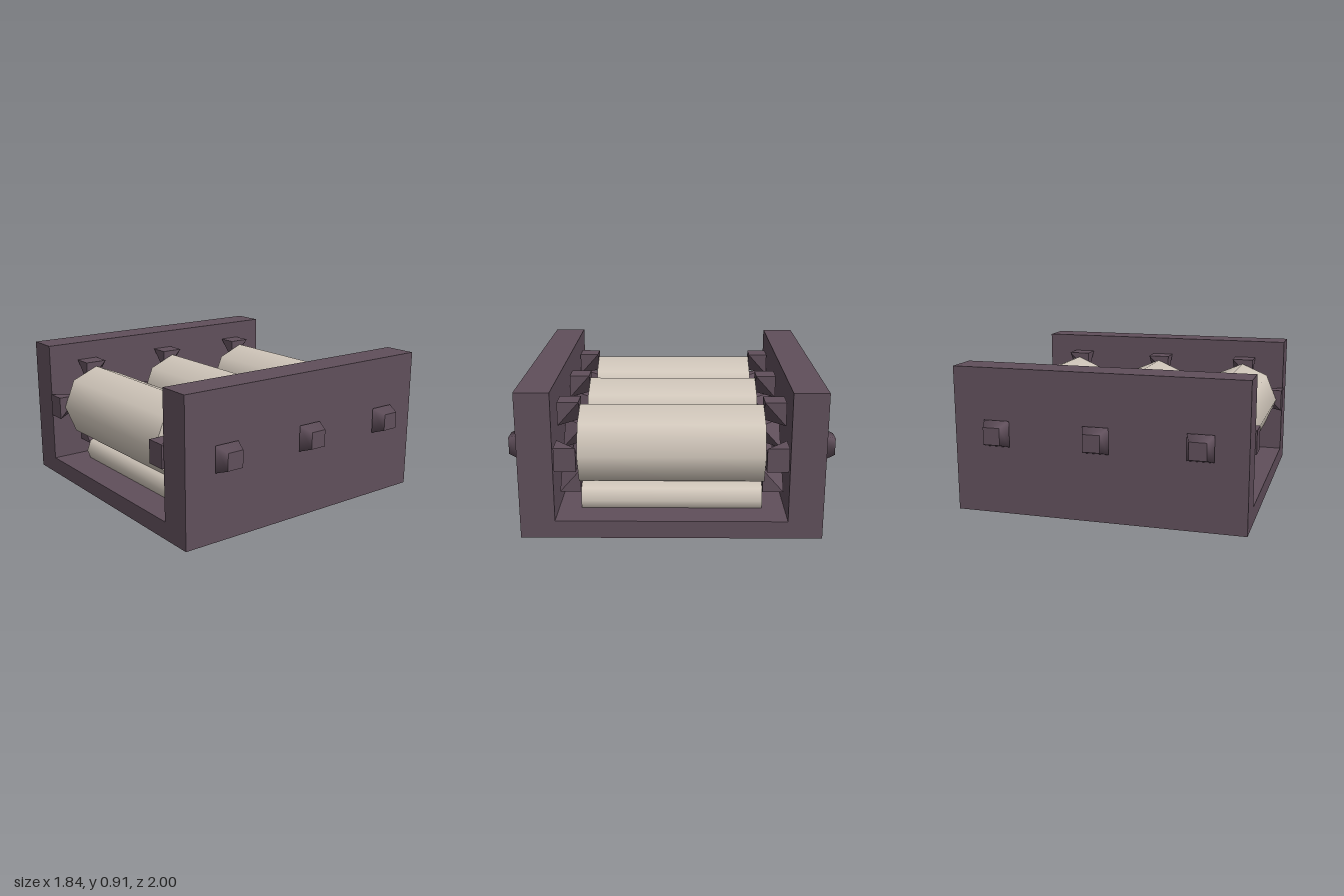
import * as THREE from 'three';
import { ConvexGeometry } from 'three/addons/geometries/ConvexGeometry.js';

const dark = new THREE.MeshStandardMaterial({ color: 0x604f5b });
const pale = new THREE.MeshStandardMaterial({ color: 0xd2c8bc });
const COLUMNS = [-0.63, 0, 0.63];
const AXLE_Y = 0.508;

export function createModel() {
  const model = new THREE.Group();
  const add = (name, geometry, material, x, y, z) => {
    const mesh = new THREE.Mesh(geometry, material);
    mesh.name = name;
    mesh.position.set(x, y, z);
    model.add(mesh);
    return mesh;
  };

  // U-shaped housing, open at both sides
  const u = new THREE.Shape([
    [-0.91, 0], [0.91, 0], [0.91, 0.91], [0.7, 0.91],
    [0.7, 0.11], [-0.7, 0.11], [-0.7, 0.91], [-0.91, 0.91],
  ].map(([a, b]) => new THREE.Vector2(a, b)));
  const housing = new THREE.ExtrudeGeometry(u, { depth: 1.82, bevelEnabled: false });
  housing.translate(0, 0, -0.91).rotateY(Math.PI / 2);
  add('housing', housing, dark, 0, 0, 0);

  // Octagonal rollers with a slim rod below each
  const roller = new THREE.CylinderGeometry(0.252, 0.252, 1.12, 8).rotateX(Math.PI / 2);
  const rod = new THREE.CylinderGeometry(0.1, 0.1, 1.12, 8).rotateX(Math.PI / 2);

  // Tapered outer stud, pointing along +z
  const stud = new THREE.CylinderGeometry(0.053 * Math.SQRT2, 0.081 * Math.SQRT2, 0.08, 4)
    .rotateY(Math.PI / 4).rotateX(Math.PI / 2);

  // Wedge tooth: square face outwards, narrowing to a diagonal edge inwards
  const tooth = (dx, dy, side) => {
    const points = [];
    for (const x of [-1, 1]) for (const y of [-1, 1]) for (const z of [-1, 1]) {
      const outer = x * dx + y * dy > 0;
      if (outer || x * y * z < 0) points.push(new THREE.Vector3(x * 0.073, y * 0.073, z * side * 0.065));
    }
    return new ConvexGeometry(points);
  };

  for (const x of COLUMNS) {
    add('roller', roller, pale, x, AXLE_Y, 0);
    add('lowerRod', rod, pale, x, 0.165, 0);
    for (const side of [1, -1]) {
      const s = add('outerStud', stud, dark, x, AXLE_Y, side * 0.96);
      if (side < 0) s.rotation.y = Math.PI;
      for (const [dx, dy] of [[1, 0], [0, 1], [-1, 0], [0, -1]]) {
        add('rollerTooth', tooth(dx, dy, side), dark, x + dx * 0.215, AXLE_Y - 0.005 + dy * 0.215, side * 0.627);
      }
    }
  }
  return model;
}
